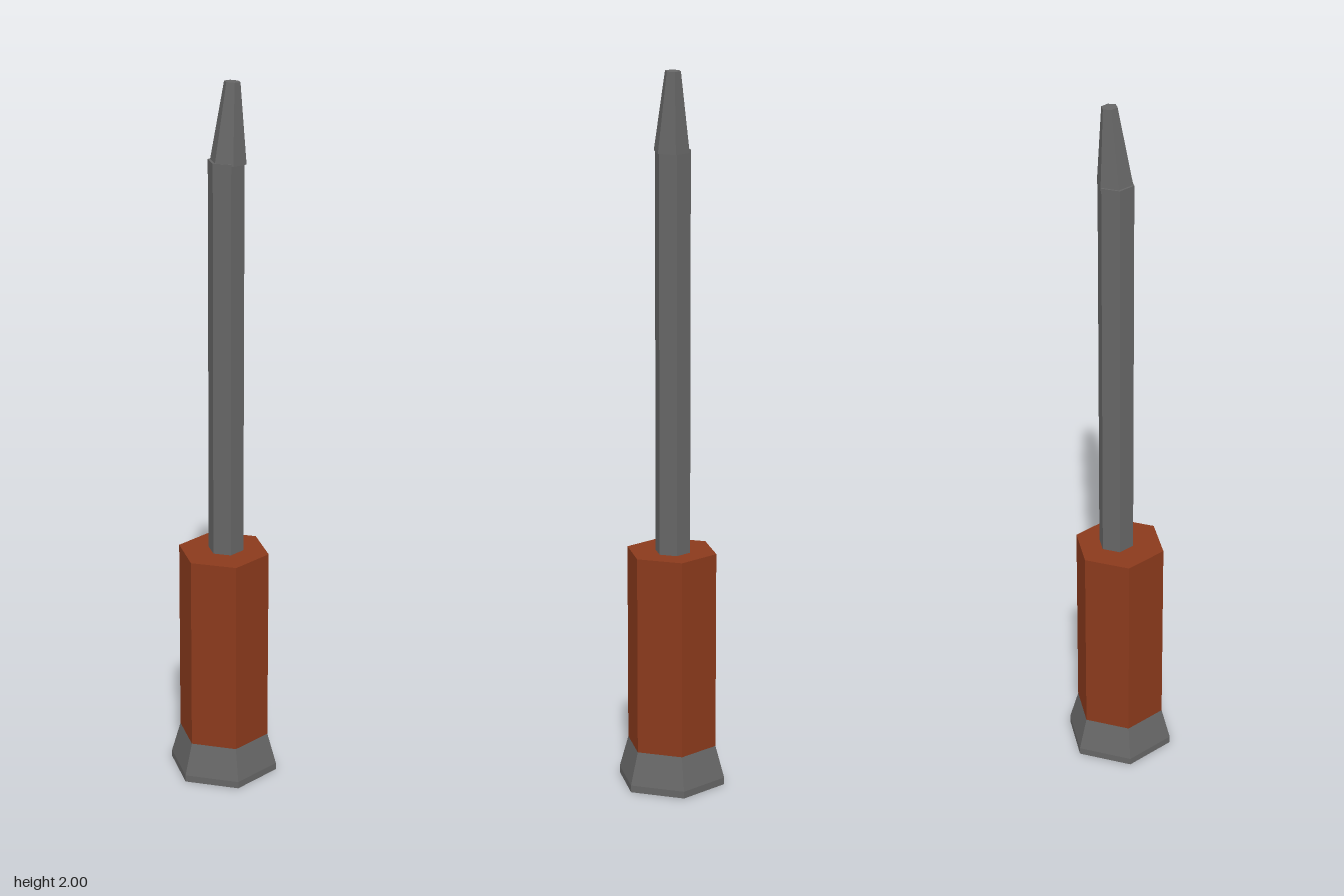
import * as THREE from 'three';

const metal = new THREE.MeshStandardMaterial({ color: 0x666666, flatShading: true });
const wood = new THREE.MeshStandardMaterial({ color: 0x8b3a1c, flatShading: true });

// Six-sided prism or frustum from y0 to y1, with corners on the z axis
function hex(name, rTop, rBottom, y0, y1, material, open = false) {
  const geometry = new THREE.CylinderGeometry(rTop, rBottom, y1 - y0, 6, 1, open);
  const mesh = new THREE.Mesh(geometry, material);
  mesh.name = name;
  mesh.position.y = (y0 + y1) / 2;
  return mesh;
}

export function createModel() {
  const model = new THREE.Group();
  model.name = 'screwdriver';

  // Handle with a flared metal end
  const handle = hex('handle', 0.129, 0.129, 0.11, 0.675, wood);
  const flare = hex('pommelFlare', 0.129, 0.155, 0.02, 0.112, metal, true);
  const rim = hex('pommelRim', 0.155, 0.155, 0, 0.02, metal, true);

  // Coloured underside of the handle
  const base = new THREE.Mesh(new THREE.CircleGeometry(0.155, 6, Math.PI / 2), wood);
  base.name = 'handleBase';
  base.rotation.x = Math.PI / 2;

  // Shaft, set slightly behind the handle's axis
  const shaft = hex('shaft', 0.05, 0.05, 0.66, 1.79, metal);
  shaft.position.x = -0.001;
  shaft.position.z = -0.01;

  // Tapered tip, leaning a touch off the shaft
  const tip = hex('tip', 0.022, 0.05, 1.783, 1.998, metal);
  tip.position.x = 0.003;
  tip.position.z = -0.021;
  tip.rotation.x = -0.07;

  model.add(handle, flare, rim, base, shaft, tip);
  return model;
}
